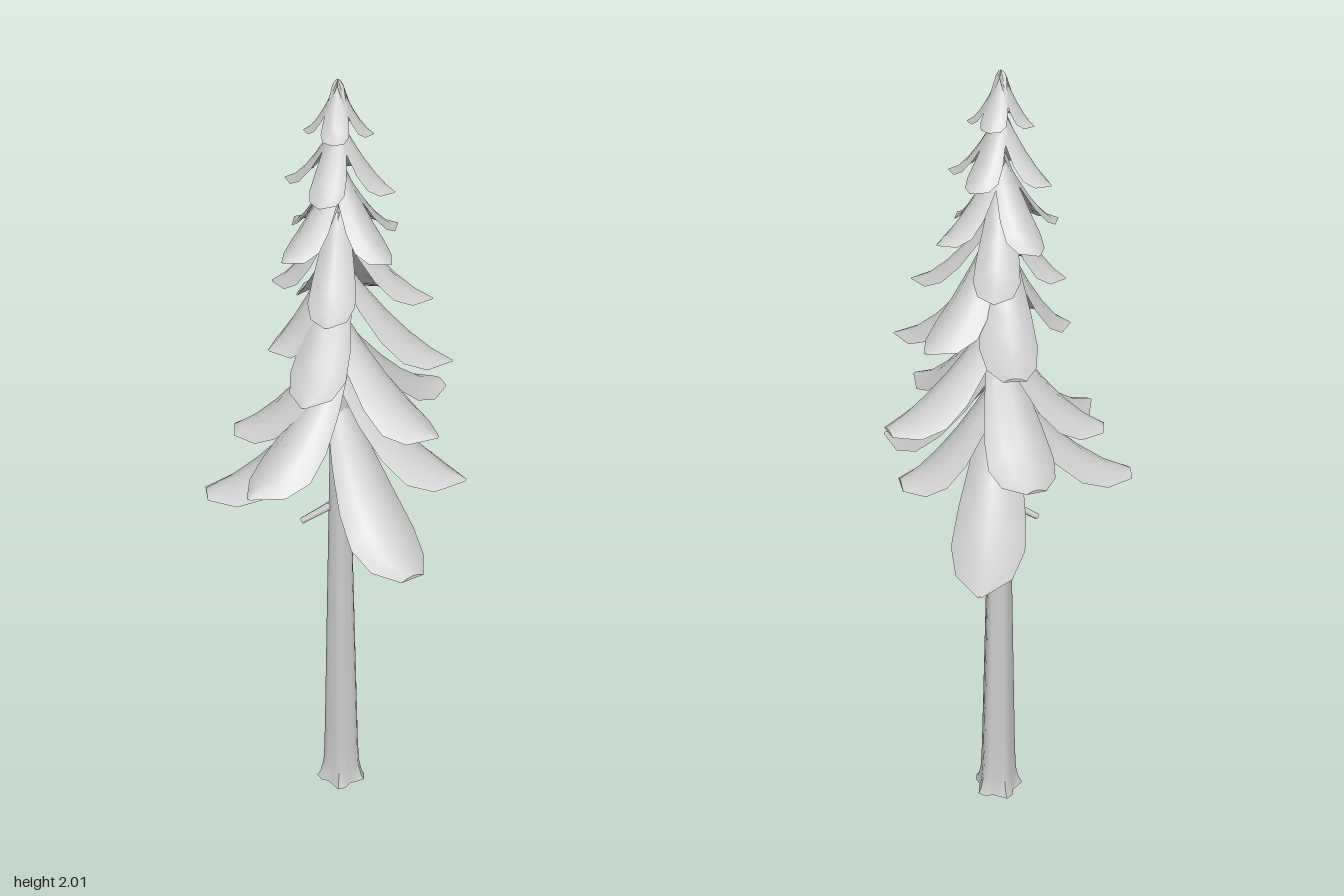
import * as THREE from 'three';
import { toCreasedNormals } from 'three/addons/utils/BufferGeometryUtils.js';

const AX = -0.014, AZ = 0.034; // trunk axis
const ROWS = 6, HALF = 4; // bough cross-sections, and steps across its top

const bark = new THREE.MeshStandardMaterial({ color: 0xcccccc });
bark.name = 'pale grey';

// Drooping, deeply arched bough from the trunk axis out to its tip
function boughGeometry(angle, len, tipY, width, drop, blunt) {
  const dx = Math.cos(angle), dz = Math.sin(angle);
  const pos = [], index = [], n = 2 * HALF;
  for (let i = 0; i < ROWS; i++) {
    const t = i / (ROWS - 1);
    // Leaf outline: widens to 0.62 of the length, then narrows to the tip
    const rel = t < 0.62
      ? 0.4 + 0.6 * Math.sin((t / 0.62) * Math.PI / 2)
      : blunt + (1 - blunt) * Math.cos(((t - 0.62) / 0.38) * Math.PI / 2);
    const w = width * rel / 2;
    const spine = tipY + drop * Math.pow(1 - t, 1.55);
    const arch = 1.15 - 0.85 * t;
    // Arched top from edge to edge, then back along the shallower underside
    for (let k = 0; k < n; k++) {
      const under = k > HALF ? 0.6 : 0;
      const u = k <= HALF ? k / 2 - 1 : 3 - k / 2;
      const sag = w * arch * (u * u + under * (1 - u * u));
      pos.push(AX + dx * len * t - dz * u * w, spine - sag, AZ + dz * len * t + dx * u * w);
    }
  }
  for (let i = 0; i < ROWS - 1; i++) {
    for (let k = 0; k < n; k++) {
      const a = i * n + k, b = i * n + (k + 1) % n;
      index.push(a, b, a + n, b, b + n, a + n);
    }
  }
  const end = (ROWS - 1) * n;
  for (let k = 1; k < n - 1; k++) index.push(0, k + 1, k, end, end + k, end + k + 1);
  const g = new THREE.BufferGeometry();
  g.setAttribute('position', new THREE.Float32BufferAttribute(pos, 3));
  g.setIndex(index);
  return toCreasedNormals(g, 0.8);
}

// Lower tiers, from the bottom up; bough: [degrees from +x to +z, length, tip height, bluntness]
const LOWER = [
  { drop: 0.32, width: 0.175, boughs: [[244, 0.41, 0.93], [33, 0.325, 0.925, 0.35]] },
  { drop: 0.28, width: 0.165, boughs: [
    [144, 0.325, 1.01, 0.35], [350, 0.31, 1.06], [315, 0.245, 1.02, 0.4], [217, 0.24, 1.1, 0.3]] },
  { drop: 0.26, width: 0.155, boughs: [
    [106, 0.31, 1.11], [153, 0.25, 1.16, 0.35], [4, 0.26, 1.21], [303, 0.285, 1.2, 0.35]] },
  { drop: 0.25, width: 0.13, boughs: [
    [82, 0.255, 1.36], [231, 0.27, 1.41, 0.4], [343, 0.26, 1.36], [279, 0.25, 1.43], [133, 0.17, 1.4]] },
  { drop: 0.21, width: 0.105, boughs: [
    [340, 0.21, 1.51], [157, 0.15, 1.54], [242, 0.19, 1.55], [73, 0.18, 1.52]] },
];

// Upper tiers are regular whorls of four
const UPPER = [
  { y: 1.64, start: 20, len: 0.16, drop: 0.19, width: 0.09 },
  { y: 1.77, start: 350, len: 0.125, drop: 0.155, width: 0.078 },
  { y: 1.89, start: 340, len: 0.075, drop: 0.115, width: 0.06 },
];
const whorls = UPPER.map(({ y, start, len, drop, width }) => ({
  drop, width,
  boughs: Array.from({ length: 4 }, (_, k) => [start + 93 * k, len, y]),
}));

// Fluted trunk with a flared, lobed foot
function trunkGeometry() {
  const rows = 12;
  const g = new THREE.CylinderGeometry(1, 1, 1, 20, rows);
  const p = g.attributes.position;
  for (let i = 0; i < p.count; i++) {
    const x = p.getX(i), z = p.getZ(i), a = Math.atan2(z, x);
    const y = 1.97 * Math.pow(p.getY(i) + 0.5, 2);
    const flare = Math.exp(-y * 40);
    const lobe = 1 + (0.07 + 0.09 * flare) * Math.cos(5 * a + 0.4);
    const r = (0.047 - 0.0215 * y + 0.013 * flare) * lobe * Math.hypot(x, z);
    p.setXYZ(i, AX + r * Math.cos(a), y, AZ + r * Math.sin(a));
  }
  return toCreasedNormals(g, 0.8);
}

// Short bare twig growing out of the trunk
function twigGeometry(y, tip) {
  const a = new THREE.Vector3(AX, y, AZ);
  const dir = tip.clone().sub(a);
  const g = new THREE.CylinderGeometry(0.008, 0.012, dir.length(), 6);
  const mid = a.add(tip).multiplyScalar(0.5);
  g.applyQuaternion(new THREE.Quaternion().setFromUnitVectors(new THREE.Vector3(0, 1, 0), dir.normalize()));
  return g.translate(mid.x, mid.y, mid.z);
}

export function createModel() {
  const tree = new THREE.Group();
  tree.name = 'conifer';
  const add = (parent, name, geometry) => {
    const mesh = new THREE.Mesh(geometry, bark);
    mesh.name = name;
    parent.add(mesh);
  };

  add(tree, 'trunk', trunkGeometry());
  add(tree, 'rightTwig', twigGeometry(0.94, new THREE.Vector3(-0.095, 0.885, 0.085)));
  add(tree, 'leftTwig', twigGeometry(0.93, new THREE.Vector3(0.053, 0.84, 0.045)));

  [...LOWER, ...whorls].forEach(({ drop, width, boughs }, i) => {
    const tier = new THREE.Group();
    tier.name = `boughTier${i + 1}`;
    for (const [degrees, len, y, blunt = 0.06] of boughs) {
      add(tier, 'bough', boughGeometry(THREE.MathUtils.degToRad(degrees), len, y, width, drop, blunt));
    }
    tree.add(tier);
  });

  // Pointed crown
  const crown = new THREE.ConeGeometry(0.025, 0.08, 7, 1, true);
  add(tree, 'crown', crown.translate(AX, 1.96, AZ));
  return tree;
}
